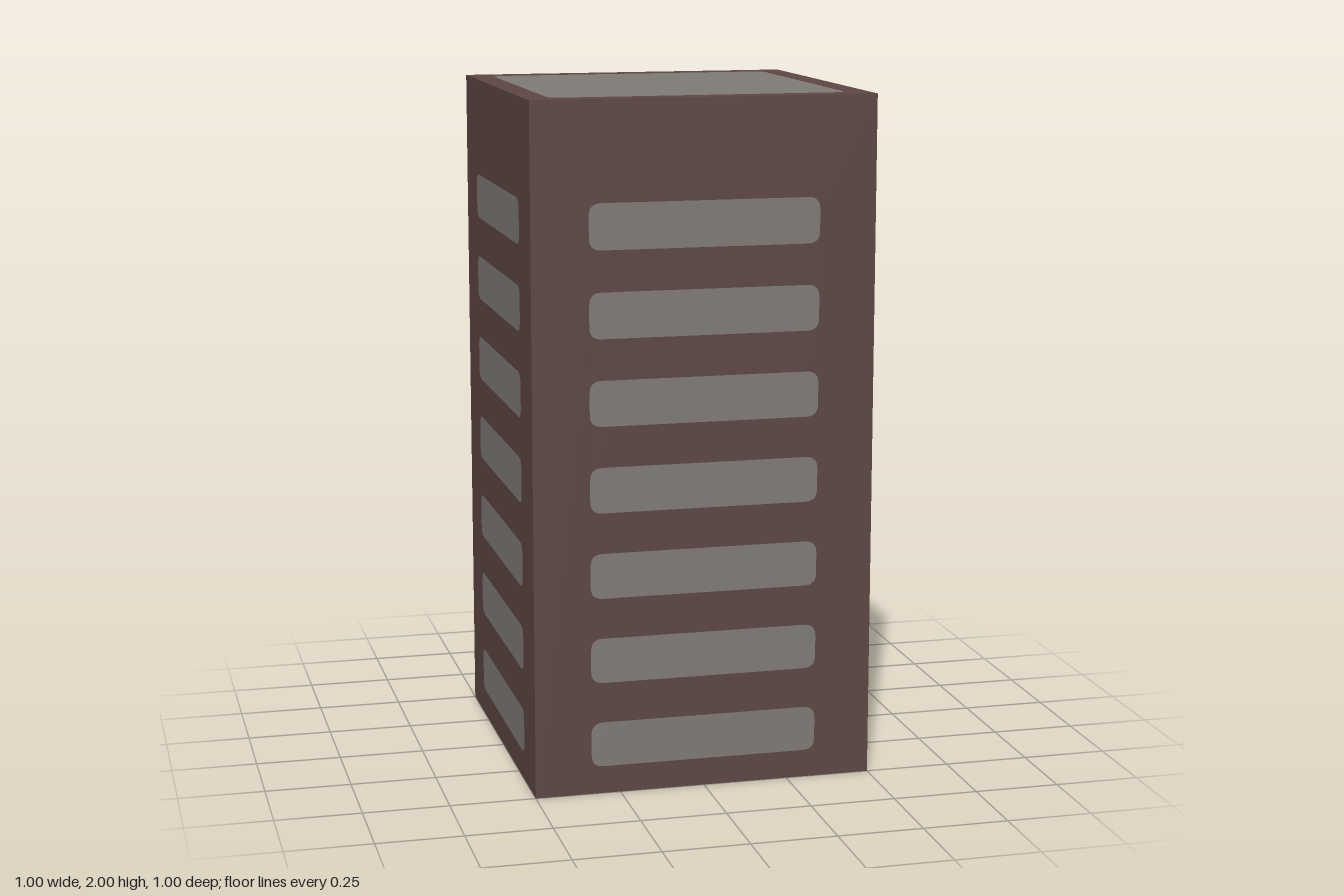
import * as THREE from 'three';

// Rounded rectangle centred on (0, cy)
function roundedRect(Type, w, h, cy, r) {
  const x = w / 2, b = cy - h / 2, t = cy + h / 2;
  const p = new Type();
  p.moveTo(-x + r, b);
  p.lineTo(x - r, b);
  p.quadraticCurveTo(x, b, x, b + r);
  p.lineTo(x, t - r);
  p.quadraticCurveTo(x, t, x - r, t);
  p.lineTo(-x + r, t);
  p.quadraticCurveTo(-x, t, -x, t - r);
  p.lineTo(-x, b + r);
  p.quadraticCurveTo(-x, b, -x + r, b);
  return p;
}

function rect(w, b, t) {
  const s = new THREE.Shape();
  s.moveTo(-w / 2, b);
  s.lineTo(w / 2, b);
  s.lineTo(w / 2, t);
  s.lineTo(-w / 2, t);
  s.closePath();
  return s;
}

// Flat panel whose openings are filled by flush panes
function panel(name, outline, openings, frameMat, paneMat) {
  const group = new THREE.Group();
  group.name = name;
  outline.holes = openings.map(o => roundedRect(THREE.Path, ...o));
  const frame = new THREE.Mesh(new THREE.ShapeGeometry(outline, 6), frameMat);
  frame.name = name + 'Surface';
  const panes = new THREE.Mesh(
    new THREE.ShapeGeometry(openings.map(o => roundedRect(THREE.Shape, ...o)), 6), paneMat);
  panes.name = name + 'Panes';
  group.add(frame, panes);
  return group;
}

export function createModel() {
  const brown = new THREE.MeshStandardMaterial({ color: 0x5d4745, side: THREE.DoubleSide });
  brown.name = 'brown wall';
  const grey = new THREE.MeshStandardMaterial({ color: 0x7f7b77, side: THREE.DoubleSide });
  grey.name = 'grey pane';

  const model = new THREE.Group();
  model.name = 'towerBlock';

  // Four walls, each with seven rows of strip windows
  const windows = [];
  for (let i = 0; i < 7; i++) windows.push([0.67, 0.132, 0.147 + i * 0.25, 0.035]);
  ['frontWall', 'leftWall', 'backWall', 'rightWall'].forEach((name, i) => {
    const wall = panel(name, rect(1, 0, 2), windows, brown, grey);
    const a = i * Math.PI / 2;
    wall.rotation.y = a;
    wall.position.set(Math.sin(a) * 0.5, 0, Math.cos(a) * 0.5);
    model.add(wall);
  });

  // Flat roof with a grey deck; the underside of the block stays open
  const roof = panel('roof', rect(1, -0.5, 0.5), [[0.86, 0.86, 0, 0.04]], brown, grey);
  roof.rotation.x = -Math.PI / 2;
  roof.position.y = 2;
  model.add(roof);

  return model;
}
